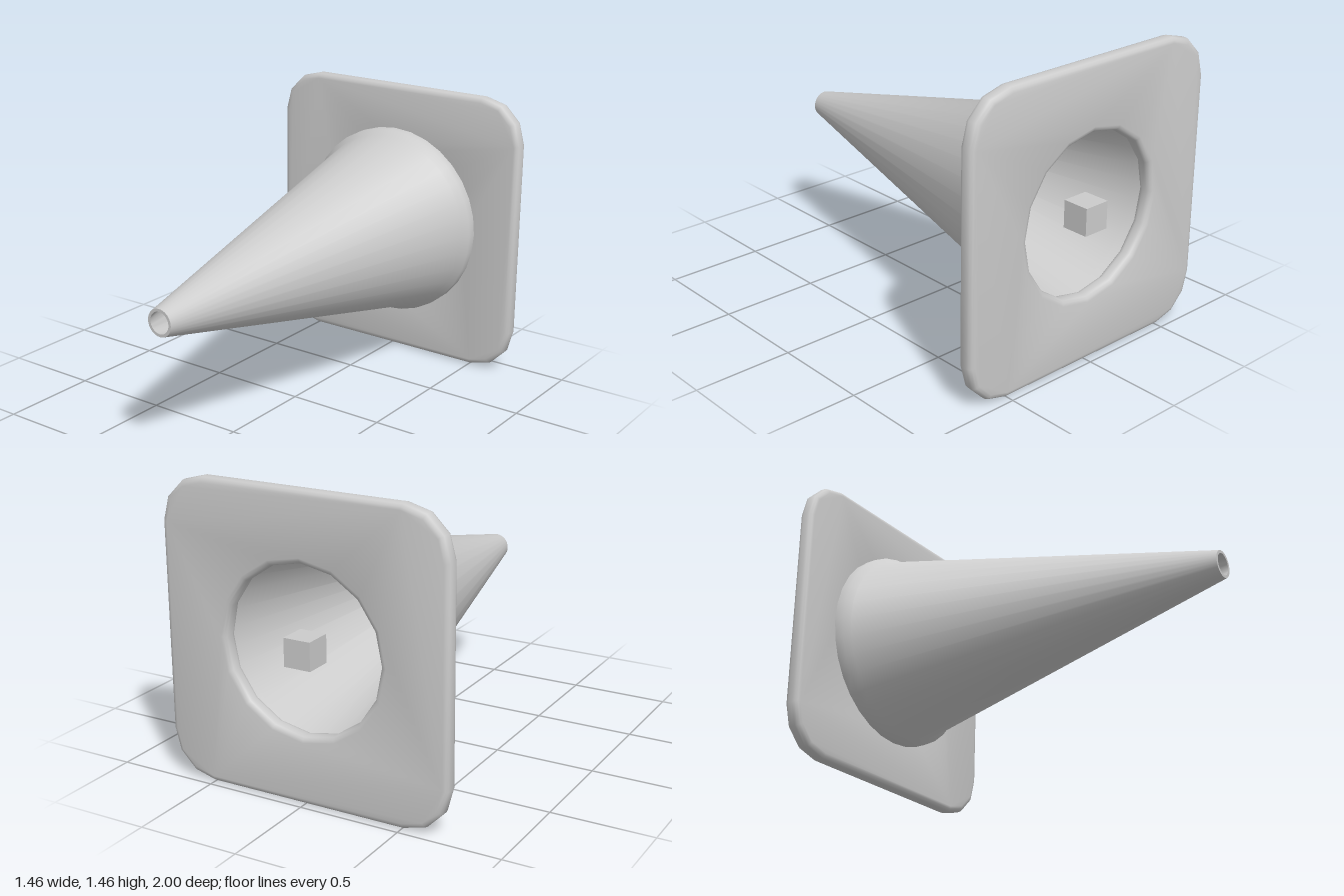
import * as THREE from 'three';
import { toCreasedNormals } from 'three/addons/utils/BufferGeometryUtils.js';

const HALF = 0.73;      // half width of the base plate
const CORNER = 0.225;   // corner radius of the base plate
const BACK = -0.97;     // rear face of the plate
const FRONT = -0.89;    // front face of the plate

// Points along an arc, both ends included
function arc(cx, cy, r, start, sweep, steps) {
  return Array.from({ length: steps + 1 }, (_, i) => {
    const a = start + (sweep * i) / steps;
    return new THREE.Vector2(cx + r * Math.cos(a), cy + r * Math.sin(a));
  });
}

export function createModel() {
  const model = new THREE.Group();
  model.name = 'trafficCone';
  const material = new THREE.MeshStandardMaterial({ color: 0xcccccc });

  const add = (name, geometry) => {
    const mesh = new THREE.Mesh(geometry, material);
    mesh.name = name;
    mesh.position.y = HALF;
    model.add(mesh);
    return mesh;
  };

  // Base plate: square with faceted round corners, soft edges and a round hole
  const outline = [];
  const c = HALF - CORNER;
  [[1, 1], [-1, 1], [-1, -1], [1, -1]].forEach(([sx, sy], i) => {
    outline.push(...arc(sx * c, sy * c, CORNER, (i * Math.PI) / 2, Math.PI / 2, 3));
  });
  const plateShape = new THREE.Shape(outline);
  const hole = arc(0, 0, 0.4, 0, -Math.PI * 2, 16).slice(0, -1);
  plateShape.holes.push(new THREE.Path(hole));

  const bevel = 0.028;
  const plate = new THREE.ExtrudeGeometry(plateShape, {
    depth: FRONT - BACK - 2 * bevel,
    bevelThickness: bevel,
    bevelSize: bevel,
    bevelOffset: -bevel,
    bevelSegments: 3,
  });
  plate.translate(0, 0, BACK + bevel);
  add('basePlate', toCreasedNormals(plate, 0.7));

  // Hollow cone with a thin wall, an open tip and a collar at the plate
  const profile = [
    [0.053, 1], [0.455, -0.81], [0.47, FRONT],
    [0.5, FRONT], [0.5, -0.84], [0.472, -0.812], [0.067, 1], [0.053, 1],
  ].map(([r, z]) => new THREE.Vector2(r, z));
  const cone = new THREE.LatheGeometry(profile, 32);
  cone.rotateX(Math.PI / 2);
  add('cone', toCreasedNormals(cone, 0.9));

  // Small block in the middle of the rear opening
  add('rearBlock', new THREE.BoxGeometry(0.135, 0.135, 0.135)).position.z = -0.9325;

  return model;
}
